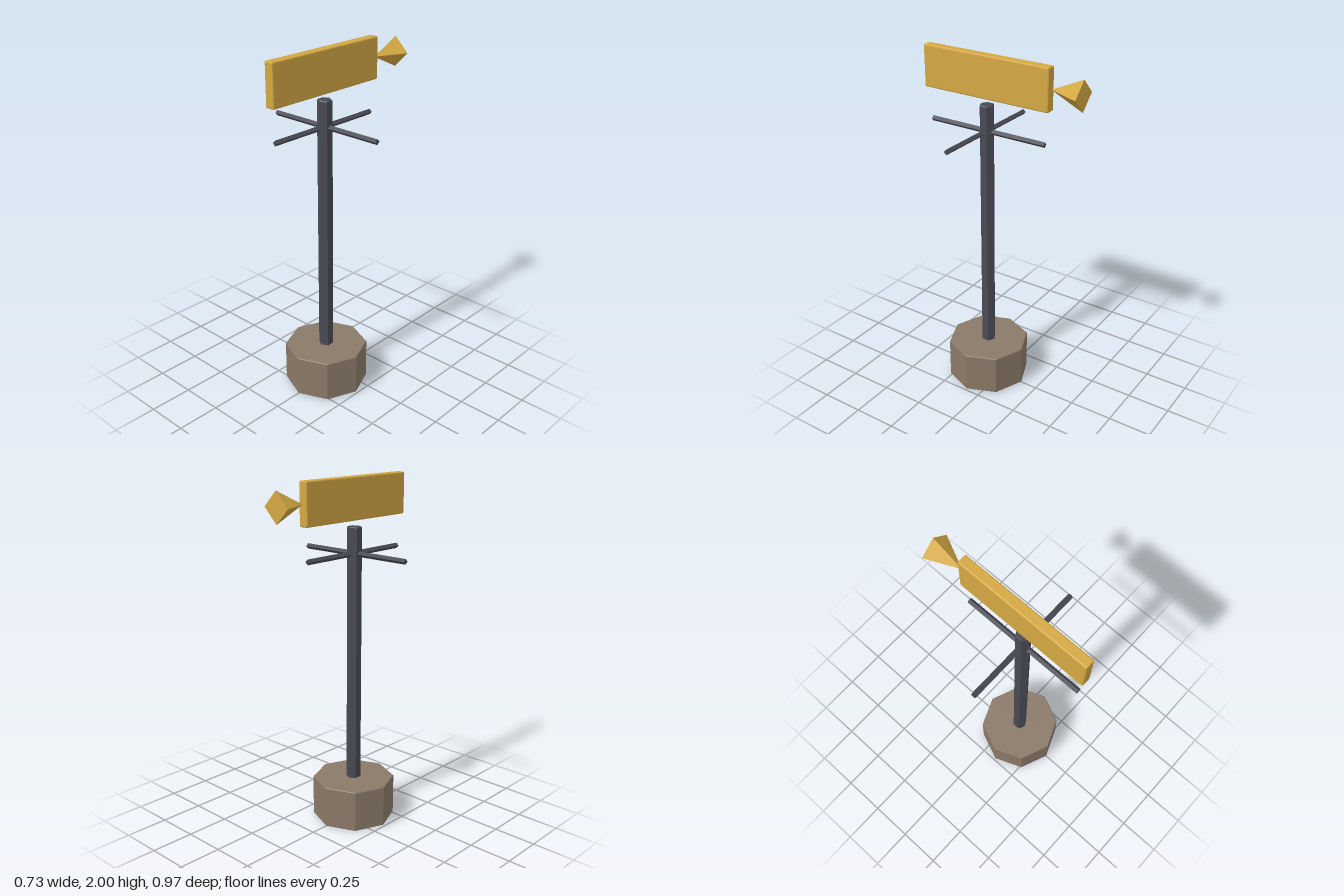
import * as THREE from 'three';
import { RoundedBoxGeometry } from 'three/addons/geometries/RoundedBoxGeometry.js';

const AXIS_Z = 0.092; // the post stands a little forward of the centre

const flat = (name, color) => {
  const m = new THREE.MeshStandardMaterial({ color, flatShading: true });
  m.name = name;
  return m;
};

// Upright prism with slightly chamfered rims
function prism(radius, bottom, top, sides, bevel) {
  const profile = [
    [0, bottom], [radius - bevel, bottom], [radius, bottom + bevel],
    [radius, top - bevel], [radius - bevel, top], [0, top],
  ].map(([r, y]) => new THREE.Vector2(r, y));
  return new THREE.LatheGeometry(profile, sides);
}

export function createModel() {
  const model = new THREE.Group();
  model.name = 'weatherVane';
  const stone = flat('stone', 0x8a7968);
  const iron = flat('iron', 0x4a4a55);
  const gold = flat('gold', 0xd4a843);

  const add = (name, geometry, material, x, y, z) => {
    const mesh = new THREE.Mesh(geometry, material);
    mesh.name = name;
    mesh.position.set(x, y, z);
    model.add(mesh);
    return mesh;
  };

  // Octagonal footing and hexagonal post
  add('base', prism(0.239, 0, 0.243, 8, 0.004), stone, 0, 0, AXIS_Z);
  add('post', prism(0.042, 0.22, 1.73, 6, 0.006), iron, 0, 0, AXIS_Z);

  // Two crossed compass rods
  const rod = new THREE.CylinderGeometry(0.0155, 0.0155, 0.725, 4);
  add('sideRod', rod, iron, 0, 1.58, AXIS_Z).rotation.z = Math.PI / 2;
  add('frontRod', rod, iron, 0, 1.58, AXIS_Z).rotation.x = Math.PI / 2;

  // Vane plate, with a four-sided tail flaring out behind it
  add('vane', new RoundedBoxGeometry(0.056, 0.236, 0.782, 2, 0.008), gold, 0, 1.882, AXIS_Z);
  add('tail', new THREE.ConeGeometry(0.085, 0.183, 4), gold, 0, 1.882, -0.3915).rotation.x = Math.PI / 2;

  return model;
}
